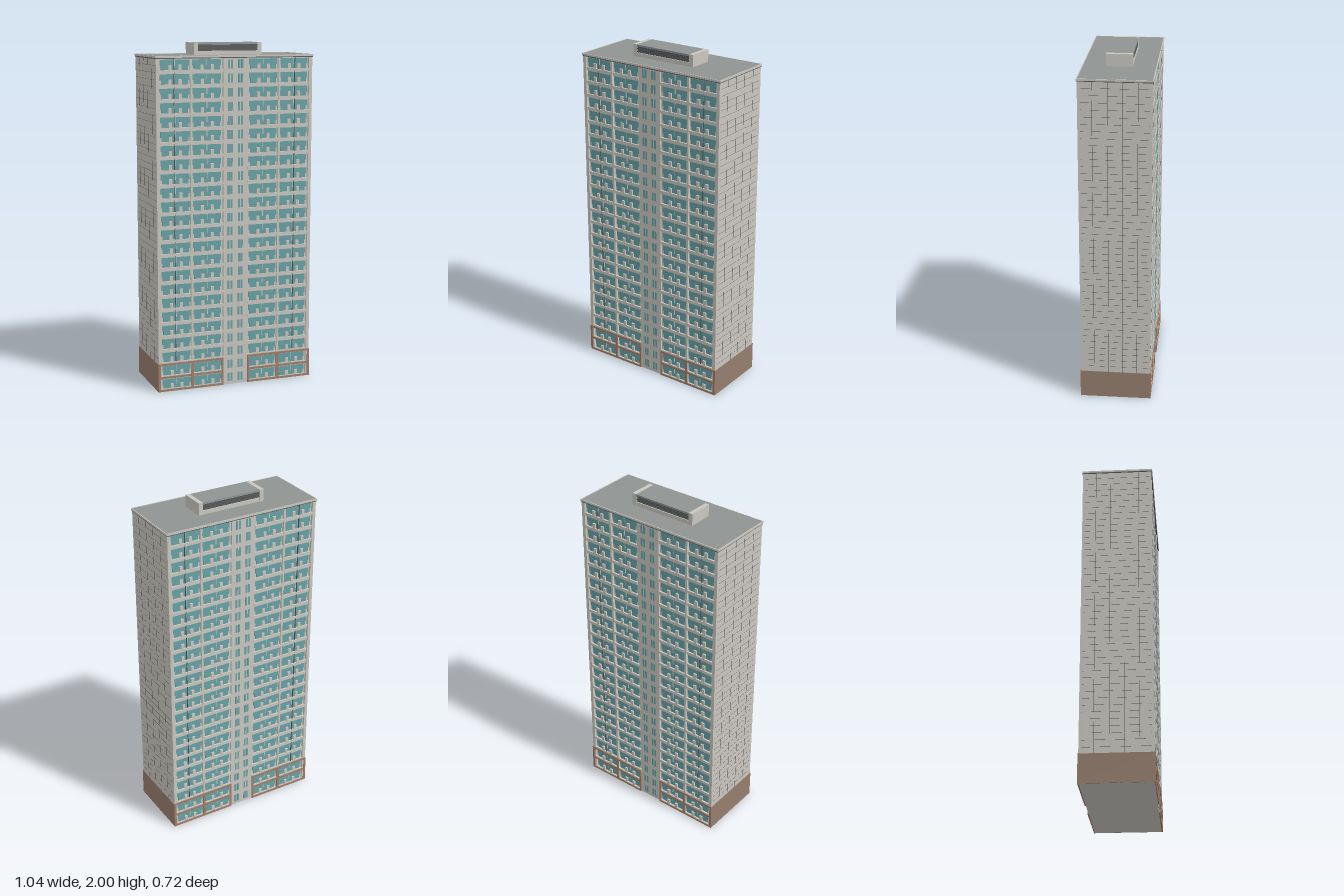
import * as THREE from 'three';
import { mergeGeometries } from 'three/addons/utils/BufferGeometryUtils.js';

const FLOORS = 24, TOP = 1.92, FLOOR_H = TOP / FLOORS;
const HALF_L = 0.473;          // half length of the tower
const CORE = 0.188;            // half depth at the recessed window plane
const FACE = 0.203;            // half depth at the facade front

function material(name, color) {
  const m = new THREE.MeshStandardMaterial({ color });
  m.name = name;
  return m;
}

// box given by its lower and upper limits on each axis
function box(x0, x1, y0, y1, z0, z1) {
  return new THREE.BoxGeometry(x1 - x0, y1 - y0, z1 - z0)
    .translate((x0 + x1) / 2, (y0 + y1) / 2, (z0 + z1) / 2);
}

function part(parent, name, mat, boxes) {
  const mesh = new THREE.Mesh(mergeGeometries(boxes), mat);
  mesh.name = name;
  parent.add(mesh);
  return mesh;
}

export function createModel() {
  const wall = material('pale concrete', 0xcac7c0);
  const glass = material('teal glass', 0x68a2a6);
  const brown = material('brown cladding', 0x967e6f);
  const trim = material('terracotta trim', 0xa27d68);
  const roofGrey = material('roof grey', 0x8f9493);
  const dark = material('dark joint', 0x55585a);

  const model = new THREE.Group();
  model.name = 'apartmentTower';
  const tower = new THREE.Group();
  tower.name = 'tower';
  tower.rotation.y = -THREE.MathUtils.degToRad(20);
  model.add(tower);

  part(tower, 'core', wall, [box(-HALF_L, HALF_L, 0, TOP, -CORE, CORE)]);

  // one long facade, used for the front and the back
  function facade(name) {
    const g = new THREE.Group();
    g.name = name;
    const frame = [], panes = [], parapets = [], bars = [], pipes = [];

    // stair core in the middle, corner piers and bay dividers
    frame.push(box(-0.075, 0.075, 0, TOP, CORE, FACE - 0.004));
    for (const s of [-1, 1]) {
      const pier = (u, w, d) => frame.push(box(s * u - w / 2, s * u + w / 2, 0, TOP, CORE, d));
      pier(0.463, 0.02, FACE);
      pier(0.267, 0.012, FACE);
      pipes.push(box(s * 0.366 - 0.001, s * 0.366 + 0.001, 0.16, TOP, CORE, FACE - 0.004));
    }

    for (let k = 0; k < FLOORS; k++) {
      const y = k * FLOOR_H;
      // paired stair windows
      for (const c of [-0.033, 0.03])
        for (const o of [-0.009, 0.009])
          panes.push(box(c + o - 0.006, c + o + 0.006, y + 0.018, y + 0.068, FACE - 0.006, FACE - 0.002));

      for (const s of [-1, 1]) {
        // floor slab edge across the two bays
        const a = s > 0 ? 0.075 : -0.455, b = s > 0 ? 0.455 : -0.075;
        frame.push(box(a, b, y, y + 0.013, CORE, FACE - 0.002));
        frame.push(box(a, b, y + 0.071, y + FLOOR_H, CORE, FACE - 0.007));
        for (const mid of [0.171, 0.361]) {
          const c = s * mid;
          // window strip above, three lower panes below
          panes.push(box(c - 0.086, c + 0.086, y + 0.037, y + 0.071, CORE, CORE + 0.003));
          for (const o of [-0.058, 0, 0.058])
            panes.push(box(c + o - 0.021, c + o + 0.021, y + 0.013, y + 0.037, CORE, CORE + 0.003));
          // balcony screens between the panes
          for (const o of [-0.03, 0.03])
            parapets.push(box(c + o - 0.009, c + o + 0.009, y + 0.013, y + 0.042, CORE, FACE - 0.003));
          // slim mullion
          frame.push(box(c - 0.002, c + 0.002, y + 0.037, y + 0.071, CORE, CORE + 0.005));
        }
      }
    }

    // trim grid on the two lowest floors
    for (const s of [-1, 1]) {
      const a = s > 0 ? 0.075 : -0.476, b = s > 0 ? 0.476 : -0.075;
      for (const y of [0, 0.077, 0.155]) bars.push(box(a, b, y, y + 0.012, FACE - 0.004, FACE + 0.003));
      for (const [u, w] of [[0.08, 0.01], [0.267, 0.014], [0.469, 0.014]])
        bars.push(box(s * u - w / 2, s * u + w / 2, 0, 0.167, FACE - 0.004, FACE + 0.0035));
    }

    part(g, 'frameAndSlabs', wall, frame);
    part(g, 'windows', glass, panes);
    part(g, 'balconyScreens', wall, parapets);
    part(g, 'baseTrim', trim, bars);
    part(g, 'drainPipes', dark, pipes);
    tower.add(g);
    return g;
  }
  facade('frontFacade');
  facade('backFacade').rotation.y = Math.PI;

  // end walls: brown base and thin panel joints
  for (const s of [-1, 1]) {
    const end = new THREE.Group();
    end.name = s > 0 ? 'leftEndWall' : 'rightEndWall';
    const x0 = s > 0 ? HALF_L - 0.002 : -HALF_L - 0.0007;
    const x1 = x0 + 0.0027;
    const joints = [];
    for (let i = 5; i < FLOORS * 2; i++) {
      const y = i * FLOOR_H / 2;
      joints.push(box(x0, x1, y - 0.0006, y + 0.0006, -CORE, CORE));
    }
    for (const w of [-0.124, -0.04, 0.04, 0.124])
      joints.push(box(x0, x1, 0.165, TOP, w - 0.001, w + 0.001));
    part(end, 'panelJoints', dark, joints);
    const bx = s > 0 ? HALF_L - 0.002 : -HALF_L - 0.003;
    part(end, 'baseCladding', brown, [box(bx, bx + 0.005, 0, 0.165, -FACE, FACE)]);
    tower.add(end);
  }

  // roof slab with a shadow joint and a pale coping
  part(tower, 'roofJoint', dark, [box(-0.476, 0.476, 1.916, 1.922, -0.205, 0.205)]);
  part(tower, 'roofSlab', roofGrey, [box(-0.473, 0.473, 1.92, 1.93, -0.202, 0.202)]);
  const coping = [];
  for (const s of [-1, 1]) {
    const z = s * 0.2045, x = s * 0.476;
    coping.push(box(-0.4785, 0.4785, 1.921, 1.932, z - 0.0025, z + 0.0025));
    coping.push(box(x - 0.0025, x + 0.0025, 1.921, 1.932, -0.207, 0.207));
  }
  part(tower, 'roofCoping', wall, coping);

  // rooftop plant room with louvred long sides
  const plant = new THREE.Group();
  plant.name = 'plantRoom';
  tower.add(plant);
  const walls = [], slats = [];
  for (const s of [-1, 1]) {
    const x = s * 0.1945;
    walls.push(box(x - 0.0125, x + 0.0125, 1.93, 2, -0.074, 0.074));
    const z = s * 0.07;
    walls.push(box(-0.182, 0.182, 1.93, 1.953, z - 0.003, z + 0.003));
    walls.push(box(-0.182, 0.182, 1.989, 1.998, z - 0.003, z + 0.003));
    for (let i = 0; i < 4; i++)
      slats.push(box(-0.182, 0.182, 1.956 + i * 0.009, 1.961 + i * 0.009, z - 0.002, z + 0.002));
  }
  part(plant, 'plantWalls', wall, walls);
  part(plant, 'louvreSlats', dark, slats);
  part(plant, 'louvreBacking', dark, [box(-0.182, 0.182, 1.93, 1.99, -0.064, 0.064)]);
  part(plant, 'plantRoof', roofGrey, [box(-0.182, 0.182, 1.99, 1.999, -0.0735, 0.0735)]);

  return model;
}
